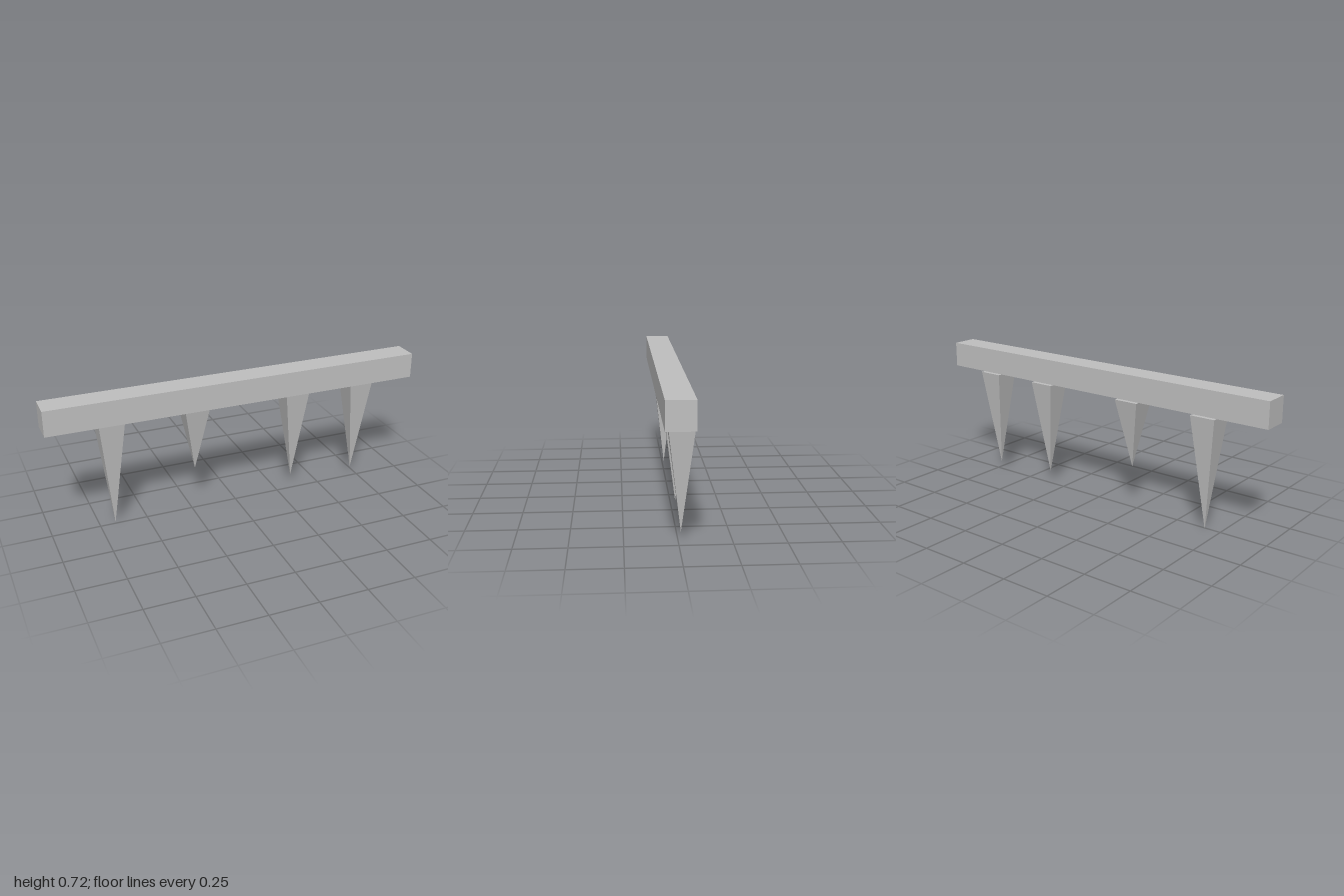
import * as THREE from 'three';

const BEAM_BOTTOM = 0.59;
const SPIKE_WIDTH = 0.132;

export function createModel() {
  const group = new THREE.Group();
  group.name = 'spikedBeam';

  const grey = new THREE.MeshStandardMaterial({ color: 0xbfbfbf, flatShading: true });
  grey.name = 'grey';

  // Long square beam
  const beam = new THREE.Mesh(new THREE.BoxGeometry(2, 0.133, 0.133), grey);
  beam.name = 'beam';
  beam.position.set(0, BEAM_BOTTOM + 0.0665, 0.0115);
  group.add(beam);

  // Square pyramids hanging point down, set slightly behind the beam: [x, tip height]
  const spikes = [[-0.668, 0], [-0.225, 0.23], [0.333, 0.076], [0.71, 0.05]];
  spikes.forEach(([x, tip], i) => {
    const height = BEAM_BOTTOM - tip;
    const geometry = new THREE.ConeGeometry(SPIKE_WIDTH / Math.SQRT2, height, 4);
    geometry.rotateY(Math.PI / 4).rotateX(Math.PI);
    const spike = new THREE.Mesh(geometry, grey);
    spike.name = `spike${i + 1}`;
    spike.position.set(x, tip + height / 2, -0.011);
    group.add(spike);
  });

  return group;
}
